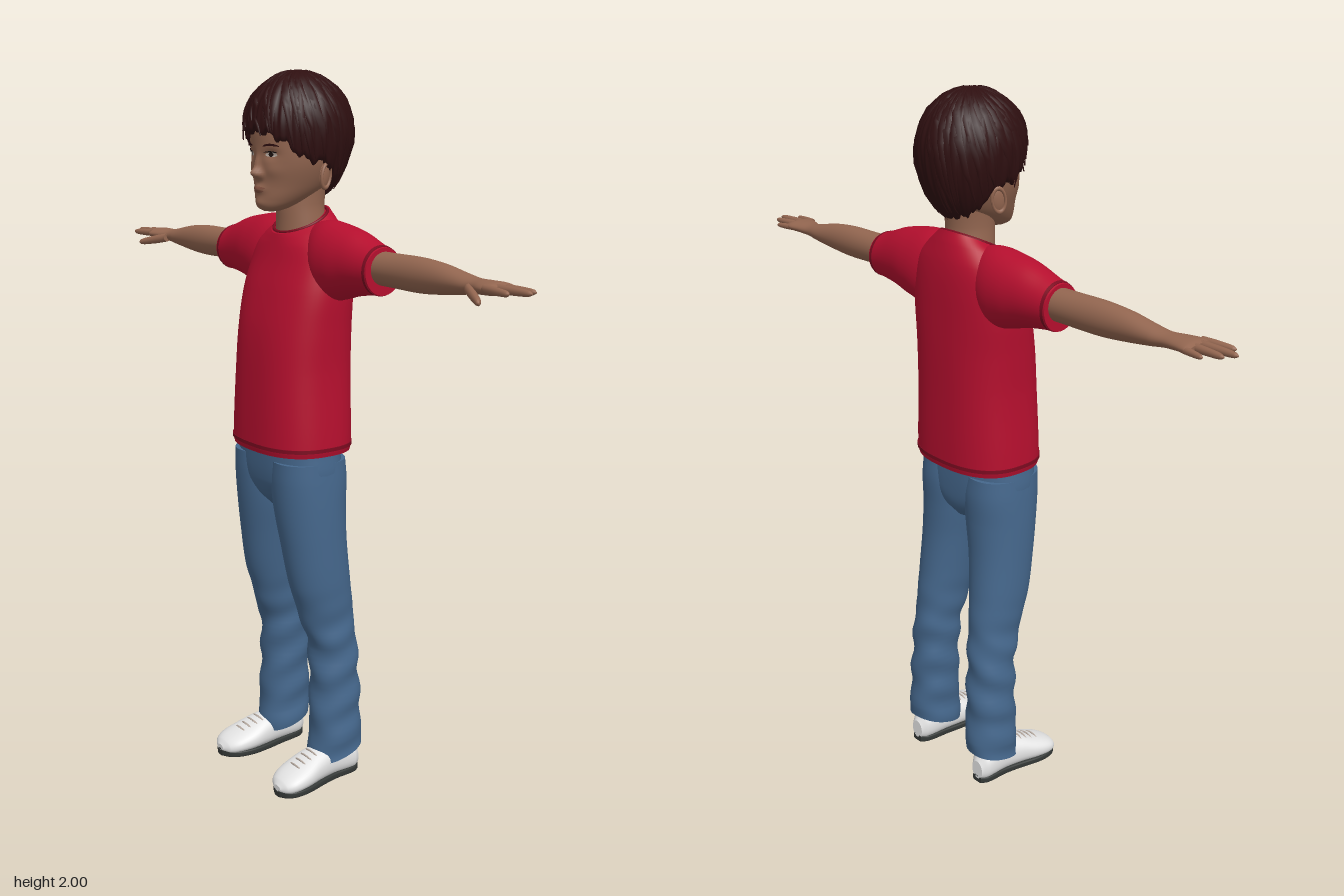
import * as THREE from 'three';
import { mergeGeometries } from 'three/addons/utils/BufferGeometryUtils.js';

const mat = (name, color, side = THREE.FrontSide) => {
  const m = new THREE.MeshStandardMaterial({ color, side });
  m.name = name;
  return m;
};

// Section row: [t, u0, u1, v0, v1, power, tilt]. Smooth interpolation between rows.
function rowAt(rows, t) {
  let i = 0;
  while (i < rows.length - 2 && t > rows[i + 1][0]) i++;
  const a = rows[i], b = rows[i + 1], p = rows[Math.max(i - 1, 0)], q = rows[Math.min(i + 2, rows.length - 1)];
  const h = b[0] - a[0], s = Math.min(Math.max((t - a[0]) / h, 0), 1);
  const get = (r, k) => r[k] ?? (k === 5 ? 2 : 0);
  return [0, 1, 2, 3, 4, 5, 6].map((k) => {
    if (k === 0) return t;
    const A = get(a, k), B = get(b, k);
    const m0 = (B - get(p, k)) / (b[0] - p[0]) * h, m1 = (get(q, k) - A) / (q[0] - a[0]) * h;
    const s2 = s * s, s3 = s2 * s;
    return (2 * s3 - 3 * s2 + 1) * A + (s3 - 2 * s2 + s) * m0 + (3 * s2 - 2 * s3) * B + (s3 - s2) * m1;
  });
}

// Closed loft of superellipse sections along x (u=y,v=z), y (u=z,v=x) or z (u=x,v=y).
function loft(axis, rows, { seg = 36, steps = 6, deform } = {}) {
  const pos = [], idx = [], n = (rows.length - 1) * steps + 1;
  const put = (t, u, v) => {
    const p = axis === 'x' ? new THREE.Vector3(t, u, v) : axis === 'y' ? new THREE.Vector3(v, t, u) : new THREE.Vector3(u, v, t);
    if (deform) deform(p);
    pos.push(p.x, p.y, p.z);
  };
  const ring = (r) => {
    const e = 2 / r[5];
    for (let j = 0; j < seg; j++) {
      const a = j / seg * Math.PI * 2, c = Math.cos(a), s = Math.sin(a);
      const cu = Math.sign(c) * Math.abs(c) ** e, sv = Math.sign(s) * Math.abs(s) ** e;
      put(r[0] + r[6] * cu, (r[1] + r[2]) / 2 + (r[2] - r[1]) / 2 * cu, (r[3] + r[4]) / 2 + (r[4] - r[3]) / 2 * sv);
    }
  };
  const at = (i) => {
    const k = Math.min(Math.floor(i / steps), rows.length - 2), f = i / steps - k;
    return rowAt(rows, rows[k][0] + (rows[k + 1][0] - rows[k][0]) * f);
  };
  for (let i = 0; i < n; i++) ring(at(i));
  for (let i = 0; i < n - 1; i++) for (let j = 0; j < seg; j++) {
    const a = i * seg + j, b = i * seg + (j + 1) % seg;
    idx.push(a, b, b + seg, a, b + seg, a + seg);
  }
  // end caps with their own vertices
  for (const end of [0, n - 1]) {
    const r = at(end), base = pos.length / 3;
    ring(r);
    put(r[0], (r[1] + r[2]) / 2, (r[3] + r[4]) / 2);
    for (let j = 0; j < seg; j++) {
      const a = base + j, b = base + (j + 1) % seg;
      idx.push(base + seg, ...(end ? [a, b] : [b, a]));
    }
  }
  return build(pos, idx);
}

function build(pos, idx) {
  const g = new THREE.BufferGeometry();
  g.setAttribute('position', new THREE.Float32BufferAttribute(pos, 3));
  g.setIndex(idx);
  g.computeVertexNormals();
  return g;
}

function mirrored(geo) {
  const g = geo.clone().scale(-1, 1, 1), ix = g.index.array;
  for (let i = 0; i < ix.length; i += 3) [ix[i], ix[i + 1]] = [ix[i + 1], ix[i]];
  g.computeVertexNormals();
  return g;
}

// Head sections and facial relief
const HEAD = [[1.633, 0.05, 0.092, -0.02, 0.02], [1.642, 0.02, 0.108, -0.04, 0.04], [1.665, -0.04, 0.113, -0.064, 0.064],
  [1.70, -0.09, 0.112, -0.086, 0.086], [1.75, -0.115, 0.113, -0.105, 0.105, 2.1], [1.80, -0.135, 0.116, -0.113, 0.113, 2.1],
  [1.86, -0.14, 0.115, -0.116, 0.116], [1.92, -0.12, 0.09, -0.1, 0.1], [1.96, -0.07, 0.05, -0.05, 0.05]];
const BUMPS = [[0, 1.733, 0.013, 0.013, 0.024], [0, 1.757, 0.009, 0.02, 0.012], [0.014, 1.728, 0.008, 0.008, 0.008],
  [0, 1.692, 0.022, 0.01, 0.008], [0, 1.655, 0.022, 0.012, 0.004], [0.044, 1.782, 0.02, 0.013, -0.008], [0.05, 1.74, 0.022, 0.018, 0.004]];
const relief = (x, y) => BUMPS.reduce((sum, [bx, by, sx, sy, h]) =>
  sum + h * Math.exp(-(((Math.abs(x) - bx) / sx) ** 2) - ((y - by) / sy) ** 2), 0);
const faceZ = (x, y) => {
  const r = rowAt(HEAD, y);
  return (r[1] + r[2]) / 2 + (r[2] - r[1]) / 2 * (1 - Math.abs(x / r[4]) ** r[5]) ** (1 / r[5]) + relief(x, y);
};
// Thin painted ellipse that follows the face
function facePatch(cx, cy, w, h, bend, lift) {
  const g = new THREE.RingGeometry(0.001, 1, 24, 4), p = g.attributes.position;
  for (let i = 0; i < p.count; i++) {
    const x = cx + p.getX(i) * w, y = cy + p.getY(i) * h + bend * (1 - p.getX(i) ** 2);
    p.setXYZ(i, x, y, faceZ(x, y) + lift);
  }
  g.computeVertexNormals();
  return g;
}

// Hair cap: lower edge height by angle from the front, in degrees
const EDGE = [[0, 1.845], [25, 1.835], [45, 1.81], [62, 1.775], [78, 1.765], [92, 1.765], [105, 1.735], [125, 1.69], [181, 1.665]];
function hairLimit(az) {
  let d = Math.abs(THREE.MathUtils.euclideanModulo(az * 180 / Math.PI + 180, 360) - 180), i = 0;
  while (i < EDGE.length - 2 && d > EDGE[i + 1][0]) i++;
  const [a, ya] = EDGE[i], [b, yb] = EDGE[i + 1];
  const e = ya + (yb - ya) * (d - a) / (b - a) + 0.007 * Math.sin(az * 17 + 1) + 0.004 * Math.sin(az * 41);
  return e > 1.84 ? Math.acos((e - 1.84) / 0.16) : Math.PI / 2 + Math.asin((1.84 - e) / 0.2);
}
function hairPoint(az, phi, scale) {
  const c = Math.cos(phi), s = Math.sin(phi);
  const k = scale + s * (0.012 * Math.sin(az * 23 + phi * 3) + 0.008 * Math.sin(az * 47 - phi * 4));
  return [0.003 + 0.133 * k * s * Math.sin(az), 1.84 + (c > 0 ? 0.157 : 0.2) * c * (c > 0 ? k : 1), -0.013 + 0.15 * k * s * Math.cos(az)];
}
function hairCap() {
  const pos = [], idx = [], A = 160, R = 24;
  for (let i = 0; i <= R + 1; i++) for (let j = 0; j < A; j++) {
    const az = j / A * Math.PI * 2, f = Math.min(i / R, 1);
    pos.push(...hairPoint(az, Math.max(f, 0.001) * hairLimit(az), i > R ? 0.8 : 1 - 0.03 * f ** 6));
    if (i <= R) {
      const a = i * A + j, b = i * A + (j + 1) % A;
      idx.push(a, a + A, b + A, a, b + A, b);
    }
  }
  return build(pos, idx);
}
// Tapered strand lying over the cap
function hairLock(az0, from, to, swirl, lift) {
  const pos = [], idx = [], N = 9;
  for (let i = 0; i <= N; i++) {
    const f = i / N, az = az0 + swirl * f, phi = from + (to * hairLimit(az) - from) * f;
    const w = 0.09 * (1 - f ** 2) + 0.004, k = 1.0 + lift * Math.sin(f * 2.6);
    pos.push(...hairPoint(az - w, phi, k - 0.01), ...hairPoint(az, phi, k + 0.012), ...hairPoint(az + w, phi, k - 0.01));
    if (i < N) for (const o of [0, 1]) {
      const a = i * 3 + o;
      idx.push(a, a + 3, a + 4, a, a + 4, a + 1);
    }
  }
  return build(pos, idx);
}

export function createModel() {
  const group = new THREE.Group();
  const D = THREE.DoubleSide;
  const shirt = mat('red cotton', 0xb50f2e), trim = mat('dark red trim', 0x7c0b20), denim = mat('blue denim', 0x45678c);
  const skin = mat('brown skin', 0x936650), hair = mat('dark brown hair', 0x2e0f10, D), white = mat('white shoe', 0xe6e6e6);
  const sole = mat('dark sole', 0x343836), eyeWhite = mat('eye white', 0xb9aca2), iris = mat('dark iris', 0x1c1210), lip = mat('lip', 0x80503f);
  const add = (name, geo, m) => {
    const mesh = new THREE.Mesh(geo, m);
    mesh.name = name;
    group.add(mesh);
  };
  const pair = (name, geo, m) => { add(name + 'Left', geo, m); add(name + 'Right', mirrored(geo), m); };

  // Head, neck and face
  add('head', loft('y', HEAD, { seg: 120, steps: 10, deform: (p) => { if (p.z > 0.03) p.z += relief(p.x, p.y); } }), skin);
  add('neck', loft('y', [[1.53, -0.1, 0.045, -0.075, 0.075], [1.60, -0.092, 0.044, -0.068, 0.068], [1.65, -0.088, 0.045, -0.064, 0.064], [1.74, -0.1, 0.04, -0.07, 0.07]]), skin);
  const ear = mergeGeometries([new THREE.SphereGeometry(1, 20, 14).scale(0.009, 0.034, 0.02),
    new THREE.TorusGeometry(0.025, 0.005, 8, 24).scale(0.75, 1.25, 1).rotateY(Math.PI / 2).translate(0.006, 0, 0)]);
  pair('ear', ear.rotateY(0.3).rotateX(-0.15).translate(0.108, 1.727, -0.022), skin);
  pair('eye', facePatch(0.044, 1.781, 0.017, 0.006, 0.001, 0.0015), eyeWhite);
  pair('iris', facePatch(0.043, 1.782, 0.0065, 0.006, 0, 0.003), iris);
  pair('upperLid', facePatch(0.044, 1.787, 0.019, 0.0018, 0.002, 0.004), iris);
  pair('eyebrow', facePatch(0.046, 1.803, 0.023, 0.003, 0.004, 0.002), hair);
  add('upperLip', facePatch(0, 1.694, 0.026, 0.004, 0.001, 0.002), lip);
  add('lowerLip', facePatch(0, 1.687, 0.022, 0.004, -0.001, 0.002), lip);

  // Hair
  add('hairCap', hairCap(), hair);
  const locks = [];
  for (let i = 0; i < 54; i++) {
    const r = (Math.sin(i * 12.99) * 43758.5) % 1, q = Math.abs((Math.sin(i * 78.2) * 12543.1) % 1);
    locks.push(hairLock(i * 2.399, 0.15 + q * 0.5, 0.9 + 0.12 * q, 0.35 + r * 0.3, 0.01 + 0.035 * q));
  }
  add('hairLocks', mergeGeometries(locks), hair);

  // Shirt body, sleeves and trims
  add('shirtBody', loft('y', [[0.982, -0.128, 0.143, -0.178, 0.178, 2.5], [1.0, -0.131, 0.146, -0.181, 0.181, 2.5], [1.2, -0.132, 0.139, -0.171, 0.171, 2.5],
    [1.32, -0.133, 0.128, -0.174, 0.174, 2.4], [1.42, -0.132, 0.104, -0.178, 0.178, 2.4], [1.5, -0.13, 0.078, -0.172, 0.172, 2.3, -0.004],
    [1.55, -0.124, 0.065, -0.155, 0.155, 2.2, -0.012], [1.585, -0.112, 0.058, -0.12, 0.12, 2, -0.025], [1.606, -0.1, 0.054, -0.084, 0.084, 2, -0.035]], { seg: 64 }), shirt);
  pair('sleeve', loft('x', [[0.075, 1.45, 1.605, -0.09, 0.02], [0.13, 1.40, 1.613, -0.11, 0.045], [0.19, 1.408, 1.606, -0.112, 0.048],
    [0.25, 1.424, 1.594, -0.104, 0.04], [0.31, 1.434, 1.573, -0.095, 0.032], [0.352, 1.438, 1.56, -0.09, 0.028]], { seg: 40 }), shirt);
  pair('sleeveTrim', loft('x', [[0.338, 1.436, 1.566, -0.093, 0.031], [0.347, 1.436, 1.563, -0.092, 0.03]], { steps: 2 }), trim);
  add('hemTrim', loft('y', [[0.996, -0.133, 0.148, -0.183, 0.183, 2.5], [1.006, -0.133, 0.148, -0.183, 0.183, 2.5]], { seg: 64, steps: 2 }), trim);
  const collar = new THREE.TorusGeometry(1, 0.06, 8, 48).rotateX(Math.PI / 2).scale(0.081, 0.08, 0.075);
  add('collar', collar.rotateX(0.43).translate(0, 1.606, -0.023), trim);

  // Arms, palms and fingers
  pair('arm', loft('x', [[0.28, 1.465, 1.55, -0.078, 0.014], [0.4, 1.463, 1.55, -0.075, 0.01], [0.5, 1.462, 1.55, -0.072, 0.008], [0.58, 1.468, 1.543, -0.068, 0.005],
    [0.66, 1.478, 1.528, -0.064, 0], [0.7, 1.484, 1.522, -0.06, -0.002], [0.74, 1.487, 1.522, -0.066, 0.012], [0.775, 1.49, 1.521, -0.072, 0.02], [0.792, 1.497, 1.516, -0.066, 0.012]]), skin);
  const finger = (from, to, r) => loft('x', [0, 0.3, 0.65, 0.92, 1].map((f, i) => {
    const [x, y, z] = from.map((v, k) => v + (to[k] - v) * f), w = r * [1, 1, 0.88, 0.65, 0.2][i];
    return [x, y - w, y + w, z - w, z + w];
  }), { seg: 12, steps: 3 });
  const hand = [[0.765, 1.508, 0.01, 0.855, 1.506, 0.02, 0.0105], [0.765, 1.508, -0.014, 0.89, 1.508, -0.017, 0.011],
    [0.765, 1.507, -0.037, 0.873, 1.507, -0.046, 0.0105], [0.76, 1.504, -0.06, 0.833, 1.502, -0.071, 0.009], [0.695, 1.498, -0.005, 0.785, 1.479, 0.043, 0.013]];
  ['indexFinger', 'middleFinger', 'ringFinger', 'littleFinger', 'thumb'].forEach((name, i) => {
    const h = hand[i];
    pair(name, finger(h.slice(0, 3), h.slice(3, 6), h[6]), skin);
  });

  // Jeans
  add('jeansHips', loft('y', [[0.815, -0.06, 0.07, -0.05, 0.05], [0.85, -0.085, 0.1, -0.13, 0.13], [0.9, -0.092, 0.118, -0.176, 0.176, 2.4], [1.0, -0.09, 0.122, -0.176, 0.176, 2.4]], { seg: 48 }), denim);
  const creases = (p) => {
    const f = THREE.MathUtils.smoothstep(0.62 - p.y, 0, 0.2) * 0.0035;
    p.x += f * Math.sin(p.y * 62 + p.z * 22);
    p.z += f * Math.sin(p.y * 48 + p.x * 30);
  };
  pair('jeansLeg', loft('y', [[0.078, -0.134, 0.026, 0.064, 0.197, 2.2, -0.022], [0.13, -0.134, 0.024, 0.064, 0.195, 2.2, -0.01], [0.25, -0.13, 0.02, 0.062, 0.191, 2.1],
    [0.4, -0.121, 0.022, 0.058, 0.186, 2.1], [0.5, -0.113, 0.05, 0.05, 0.181, 2.1], [0.6, -0.102, 0.08, 0.036, 0.186, 2.1], [0.72, -0.092, 0.1, 0.018, 0.186, 2.1],
    [0.82, -0.092, 0.114, 0.001, 0.185, 2.1], [0.9, -0.095, 0.12, -0.002, 0.182, 2.2], [0.96, -0.09, 0.12, 0.005, 0.178, 2.2]], { seg: 44, steps: 8, deform: creases }), denim);

  // Shoes with soles and laces
  const SHOE = [[-0.12, 0.118, 0.162, 0.012, 0.07], [-0.1, 0.104, 0.174, 0.008, 0.095, 2.3], [-0.03, 0.095, 0.178, 0.008, 0.108, 2.3], [0.03, 0.086, 0.19, 0.008, 0.098, 2.3],
    [0.08, 0.083, 0.202, 0.008, 0.079, 2.3], [0.125, 0.092, 0.203, 0.008, 0.062, 2.3], [0.152, 0.11, 0.19, 0.009, 0.048, 2.2], [0.165, 0.135, 0.168, 0.016, 0.034]];
  pair('shoe', loft('z', SHOE), white);
  pair('sole', loft('z', SHOE.map(([z, a, b]) => [z, a + 0.004, b - 0.004, 0, 0.022, 5])), sole);
  for (let i = 0; i < 4; i++) {
    const z = 0.035 + i * 0.02, r = rowAt(SHOE, z), c = (r[1] + r[2]) / 2;
    const path = new THREE.QuadraticBezierCurve3(new THREE.Vector3(c - 0.026, r[4] - 0.006, z), new THREE.Vector3(c, r[4] + 0.006, z + 0.006), new THREE.Vector3(c + 0.026, r[4] - 0.006, z));
    pair('lace' + (i + 1), new THREE.TubeGeometry(path, 8, 0.0028, 6), eyeWhite);
  }
  return group;
}
